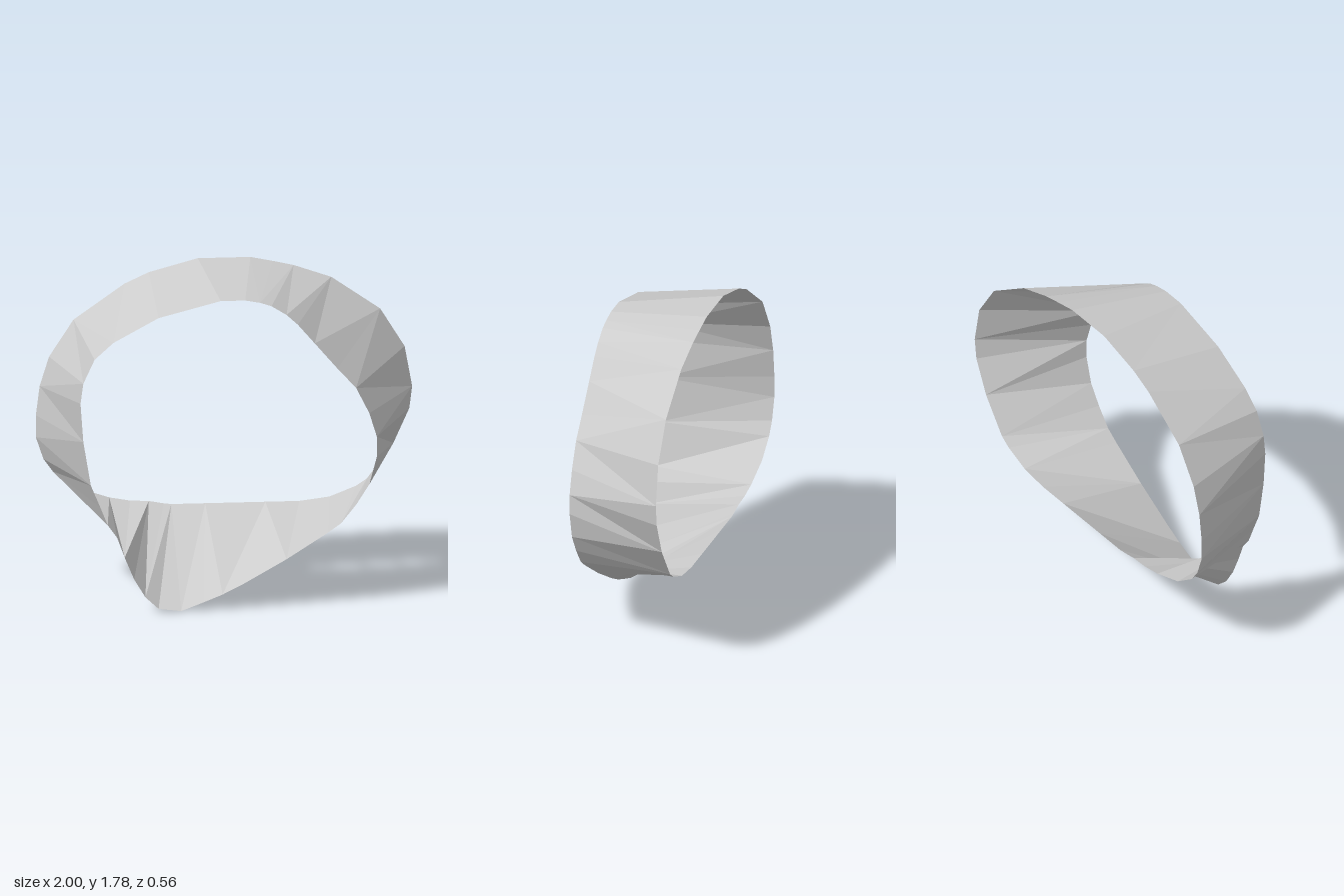
import * as THREE from 'three';

// Paired rim points, clockwise from the top: [back x, back y, front x, front y]
const ROWS = [
  [0.00, 1.78, 0.00, 1.695], [0.14, 1.78, 0.06, 1.695], [0.26, 1.755, 0.14, 1.68],
  [0.37, 1.73, 0.20, 1.66], [0.47, 1.695, 0.28, 1.61], [0.57, 1.66, 0.34, 1.555],
  [0.70, 1.57, 0.43, 1.45], [0.83, 1.48, 0.55, 1.31], [0.96, 1.27, 0.65, 1.20],
  [1.00, 1.05, 0.72, 1.06], [0.985, 0.93, 0.76, 0.93], [0.90, 0.74, 0.76, 0.82],
  [0.83, 0.645, 0.72, 0.67], [0.76, 0.55, 0.65, 0.56], [0.70, 0.51, 0.57, 0.46],
  [0.56, 0.455, 0.50, 0.41], [0.40, 0.435, 0.28, 0.27], [0.22, 0.435, 0.05, 0.14],
  [0.05, 0.435, -0.06, 0.085], [-0.10, 0.435, -0.16, 0.045], [-0.20, 0.435, -0.28, 0.0],
  [-0.28, 0.435, -0.40, 0.015], [-0.32, 0.44, -0.47, 0.08], [-0.40, 0.455, -0.53, 0.18],
  [-0.50, 0.46, -0.58, 0.30], [-0.61, 0.48, -0.62, 0.41], [-0.79, 0.54, -0.67, 0.48],
  [-0.91, 0.63, -0.71, 0.58], [-0.96, 0.70, -0.76, 0.70], [-1.00, 0.82, -0.78, 0.82],
  [-1.00, 0.94, -0.80, 0.94], [-0.98, 1.10, -0.815, 1.15], [-0.93, 1.26, -0.80, 1.26],
  [-0.80, 1.46, -0.74, 1.39], [-0.53, 1.65, -0.64, 1.48], [-0.40, 1.71, -0.40, 1.61],
  [-0.14, 1.78, -0.07, 1.695],
];
const HALF_DEPTH = 0.28;

// Stitches the two rims into one closed strip, with alternating diagonals
function bandGeometry() {
  const positions = [];
  const index = [];
  for (const [bx, by, fx, fy] of ROWS) {
    positions.push(bx, by, -HALF_DEPTH, fx, fy, HALF_DEPTH);
  }
  const n = ROWS.length;
  for (let i = 0; i < n; i++) {
    const b0 = 2 * i, f0 = b0 + 1;
    const b1 = 2 * ((i + 1) % n), f1 = b1 + 1;
    if (i % 2) index.push(b0, f0, f1, b0, f1, b1);
    else index.push(b0, f0, b1, f0, f1, b1);
  }
  const geometry = new THREE.BufferGeometry();
  geometry.setAttribute('position', new THREE.Float32BufferAttribute(positions, 3));
  geometry.setIndex(index);
  geometry.computeVertexNormals();
  return geometry;
}

export function createModel() {
  const group = new THREE.Group();
  group.name = 'openBand';
  const material = new THREE.MeshStandardMaterial({
    color: 0xcccccc, flatShading: true, side: THREE.DoubleSide,
  });
  const band = new THREE.Mesh(bandGeometry(), material);
  band.name = 'band';
  group.add(band);
  return group;
}
